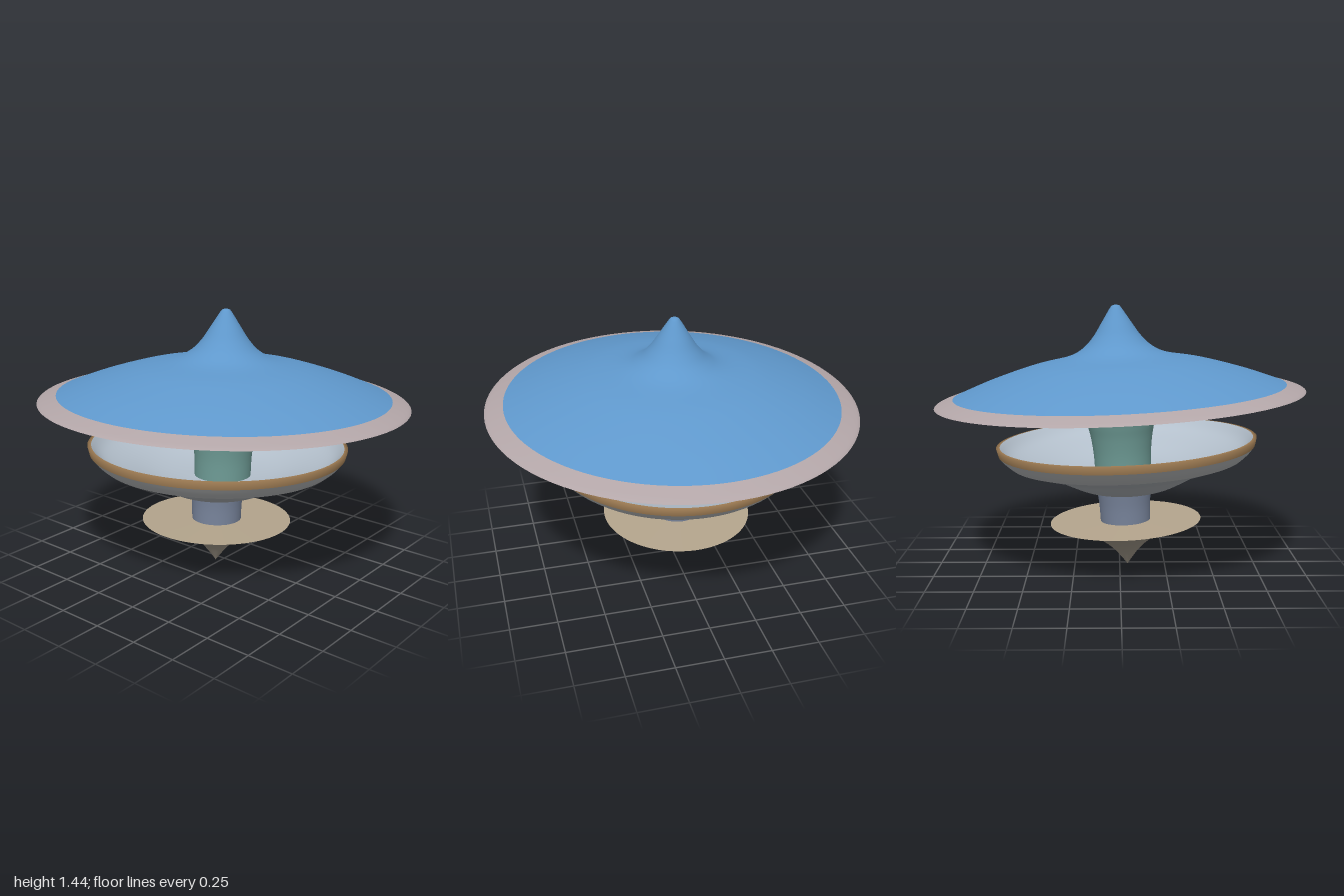
import * as THREE from 'three';

const SEGMENTS = 96;
const RISE = new THREE.Euler(-0.047, 0, 0.011); // slight lean shared by every tier

// Turned part: [radius, height] points, smoothed by a spline unless straight.
// Points run from the underside outward and up, so faces point outward.
function turned(name, color, points, steps = 0) {
  let profile = points.map(([r, y]) => new THREE.Vector2(r, y));
  if (steps) profile = new THREE.SplineCurve(profile).getPoints(steps);
  profile.forEach(p => { p.x = Math.max(p.x, 0); });
  const mesh = new THREE.Mesh(
    new THREE.LatheGeometry(profile, SEGMENTS),
    new THREE.MeshStandardMaterial({ color, side: THREE.DoubleSide })
  );
  mesh.name = name;
  return mesh;
}

// Tier: a group of turned parts on one leaning axis
function tier(name, x, y, z, ...parts) {
  const group = new THREE.Group();
  group.name = name;
  group.position.set(x, y, z);
  group.rotation.copy(RISE);
  group.add(...parts);
  return group;
}

export function createModel() {
  const model = new THREE.Group();
  model.name = 'spinningTop';

  // Wide roof with a pointed crown, a collar and a flared neck below
  model.add(tier('roof', 0, 0.945, 0,
    turned('roofUnderside', 0x3f7fbd, [[0.44, 0.005], [1, 0]]),
    turned('roofRim', 0xb3a6a8, [[1, 0], [0.98, 0.012], [0.9, 0.038]], 8),
    turned('roofTop', 0x5f98cc, [
      [0.9, 0.038], [0.71, 0.11], [0.48, 0.18], [0.28, 0.222], [0.19, 0.265],
      [0.13, 0.325], [0.08, 0.4], [0.03, 0.478], [0.015, 0.491], [0, 0.493]
    ], 60),
    turned('collar', 0x5c86b0, [
      [0.27, -0.074], [0.35, -0.072], [0.41, -0.068], [0.445, -0.045], [0.455, -0.015], [0.48, 0.003]
    ], 24),
    turned('neck', 0x6d9a94, [
      [0.155, -0.43], [0.158, -0.32], [0.168, -0.23], [0.18, -0.17],
      [0.193, -0.12], [0.22, -0.09], [0.27, -0.074]
    ], 32)
  ));

  // Stepped bowl with a banded rim
  model.add(tier('bowl', -0.016, 0.705, 0.035,
    turned('bowlBase', 0x9da1a5, [[0, -0.283], [0.14, -0.283]]),
    turned('bowlOutside', 0x9da1a5, [
      [0.14, -0.283], [0.2, -0.275], [0.27, -0.252], [0.36, -0.207], [0.42, -0.175], [0.49, -0.152], [0.635, -0.105]
    ], 36),
    turned('bowlShoulder', 0xa8aaab, [[0.635, -0.105], [0.67, -0.075], [0.7, -0.04]], 8),
    turned('bowlRim', 0x9c7a52, [[0.7, -0.04], [0.71, 0], [0.69, 0.002]]),
    turned('bowlInside', 0xb4c0cc, [
      [0.69, 0.002], [0.62, -0.06], [0.47, -0.115], [0.32, -0.16], [0.17, -0.18], [0, -0.18]
    ], 30)
  ));

  // Short post and the pointed spinning foot
  model.add(tier('foot', -0.03, 0.258, 0.032,
    turned('post', 0x77839a, [[0.137, 0], [0.14, 0.09], [0.149, 0.175]], 8),
    turned('footPoint', 0x968e80, [
      [0, -0.257], [0.03, -0.215], [0.075, -0.16], [0.13, -0.112], [0.2, -0.066], [0.3, -0.026], [0.415, 0]
    ], 36),
    turned('footTop', 0xb3a48c, [[0.415, 0], [0, 0.004]])
  ));

  return model;
}
